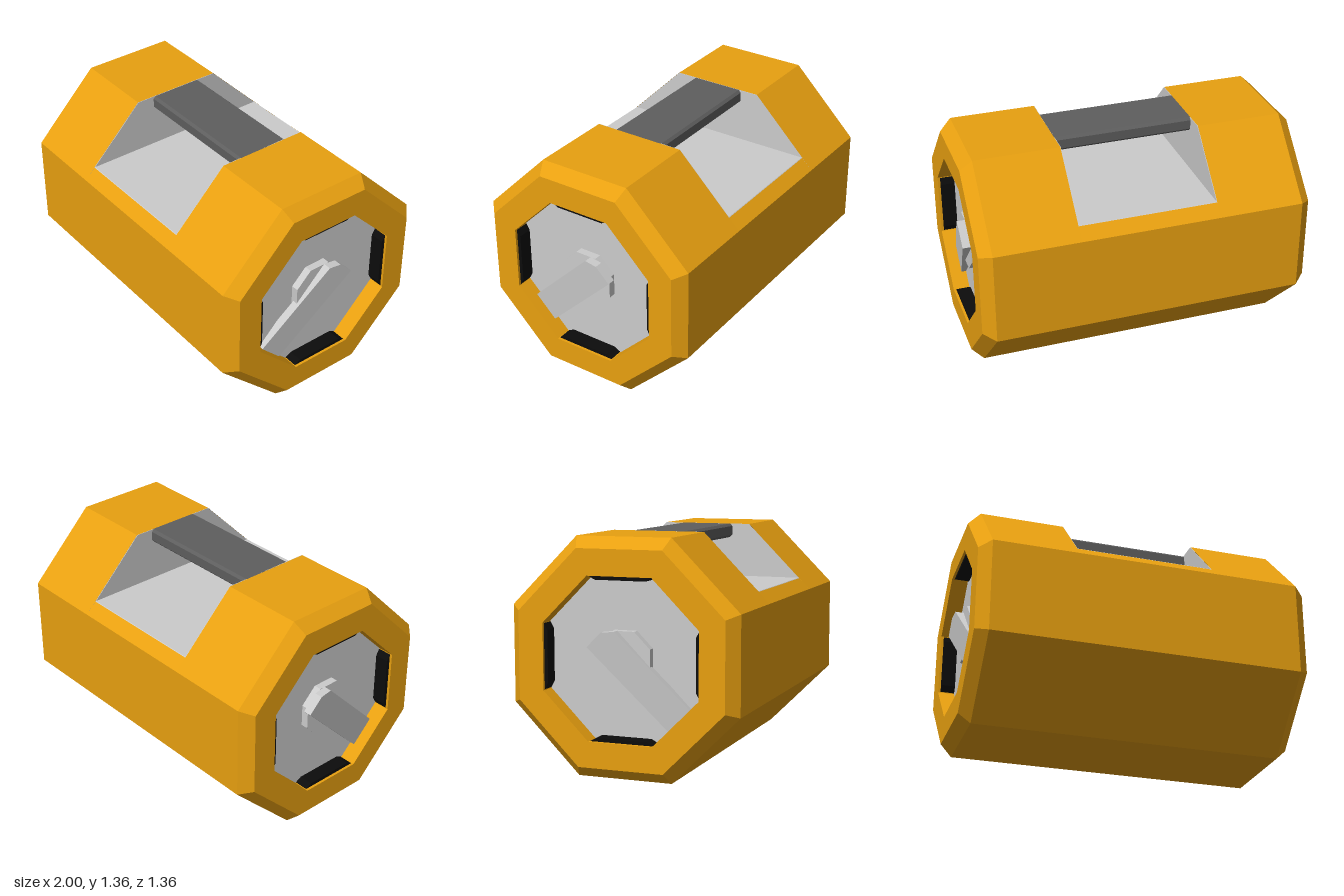
import * as THREE from 'three';

const mat = (color) => new THREE.MeshStandardMaterial({ color, flatShading: true, side: THREE.DoubleSide });
const CY = 0.68; // height of the long axis

// Regular octagon with flat sides up, as [a, y] points where a = -z
function octagon(apothem) {
  const r = apothem / Math.cos(Math.PI / 8);
  return Array.from({ length: 8 }, (_, i) => {
    const t = Math.PI / 8 + (i * Math.PI) / 4;
    return [r * Math.cos(t), CY + r * Math.sin(t)];
  });
}

// Solid with an [a, y] outline, running along x from x0 to x1
function prism(points, x0, x1) {
  const shape = new THREE.Shape(points.map(([a, y]) => new THREE.Vector2(a, y)));
  const geo = new THREE.ExtrudeGeometry(shape, { depth: x1 - x0, bevelEnabled: false });
  return geo.translate(0, 0, x0).rotateY(Math.PI / 2);
}

// Octagonal skin through [x, apothem] sections
function octLoft(sections) {
  const pos = [];
  for (let s = 0; s < sections.length - 1; s++) {
    const [x0, r0] = sections[s];
    const [x1, r1] = sections[s + 1];
    const A = octagon(r0).map(([a, y]) => [x0, y, -a]);
    const B = octagon(r1).map(([a, y]) => [x1, y, -a]);
    for (let i = 0; i < 8; i++) {
      const j = (i + 1) % 8;
      pos.push(...A[i], ...A[j], ...B[j], ...A[i], ...B[j], ...B[i]);
    }
  }
  const geo = new THREE.BufferGeometry();
  geo.setAttribute('position', new THREE.Float32BufferAttribute(pos, 3));
  geo.computeVertexNormals();
  return geo;
}

export function createModel() {
  const model = new THREE.Group();
  model.name = 'canister';
  const orange = mat(0xe8a010);
  const grey = mat(0xcccccc);
  const dark = mat(0x5e5e5e);
  const black = mat(0x0c0c0c);
  const add = (parent, name, geo, material) => {
    const mesh = new THREE.Mesh(geo, material);
    mesh.name = name;
    parent.add(mesh);
    return mesh;
  };

  const HALF = 0.418; // half length of the grip opening
  const FLOOR = 1.03;
  const PANEL = 0.9; // x of the recessed end panel

  // Middle of the body, cut flat below the grip
  const lower = octagon(0.68).filter(([, y]) => y < 1.2);
  const cut = (y) => 1.64 - y;
  const top = FLOOR - 0.003;
  const outline = [[cut(top), top], [-cut(top), top], ...lower.sort((p, q) =>
    ((Math.atan2(p[1] - CY, p[0]) + 4.5) % 6.2832) - ((Math.atan2(q[1] - CY, q[0]) + 4.5) % 6.2832))];
  // Lower six corners run counter-clockwise from upper left to upper right
  const ring = octagon(0.68);
  const body = [...outline.slice(0, 2), ...[3, 4, 5, 6, 7, 0].map((i) => ring[i])];
  add(model, 'bodyMiddle', prism(body, -HALF, HALF), orange);

  // Floor of the grip opening
  add(model, 'gripFloor', prism([
    [cut(FLOOR), FLOOR], [-cut(FLOOR), FLOOR], [-cut(top), top], [cut(top), top],
  ], -HALF, HALF), grey);

  // Chamfered grip bar across the opening
  add(model, 'grip', prism([
    [0.155, 1.36], [-0.155, 1.36], [-0.17, 1.345], [-0.17, 1.29],
    [-0.155, 1.275], [0.155, 1.275], [0.17, 1.29], [0.17, 1.345],
  ], -HALF, HALF), dark);

  // Both ends are mirror images
  for (const side of [1, -1]) {
    const end = new THREE.Group();
    end.name = side > 0 ? 'leftEnd' : 'rightEnd';
    end.scale.x = side;
    model.add(end);

    // Outer skin, bevel, rim and recess wall
    add(end, 'housing', octLoft([[HALF, 0.68], [0.93, 0.68], [1, 0.615], [1, 0.465], [PANEL - 0.01, 0.465]]), orange);
    add(end, 'endPanel', prism(octagon(0.465), PANEL - 0.02, PANEL), grey);

    // Grey wall of the grip opening
    add(end, 'openingWall', prism([
      [cut(FLOOR), FLOOR], [0.28, 1.36], [-0.28, 1.36], [-cut(FLOOR), FLOOR],
    ], HALF - 0.003, HALF), grey);

    // Black strips on the four upright and level recess walls
    for (let i = 0; i < 4; i++) {
      const geo = prism([[-0.188, 0.464], [-0.15, 0.443], [0.15, 0.443], [0.188, 0.464]], PANEL, 0.985);
      geo.rotateX((i * Math.PI) / 2).translate(0, CY, 0);
      add(end, 'recessStrip', geo, black);
    }

    // Pivot and the sloping lever that reaches the recess wall
    add(end, 'leverPivot', prism(octagon(0.16), PANEL, 0.945), grey);
    const lever = prism([
      [-0.464, -0.09], [0.187, -0.09], [0.187, 0.03], [0.138, 0.09], [-0.464, 0.09],
    ], 0, 0.05);
    const p = lever.attributes.position;
    for (let i = 0; i < p.count; i++) {
      const along = (-p.getZ(i) + 0.464) / 0.651;
      p.setX(i, p.getX(i) + PANEL - 0.02 + 0.07 * along);
    }
    lever.computeVertexNormals();
    lever.rotateX(Math.PI / 4).translate(0, CY, 0);
    add(end, 'lever', lever, grey);
  }
  return model;
}
